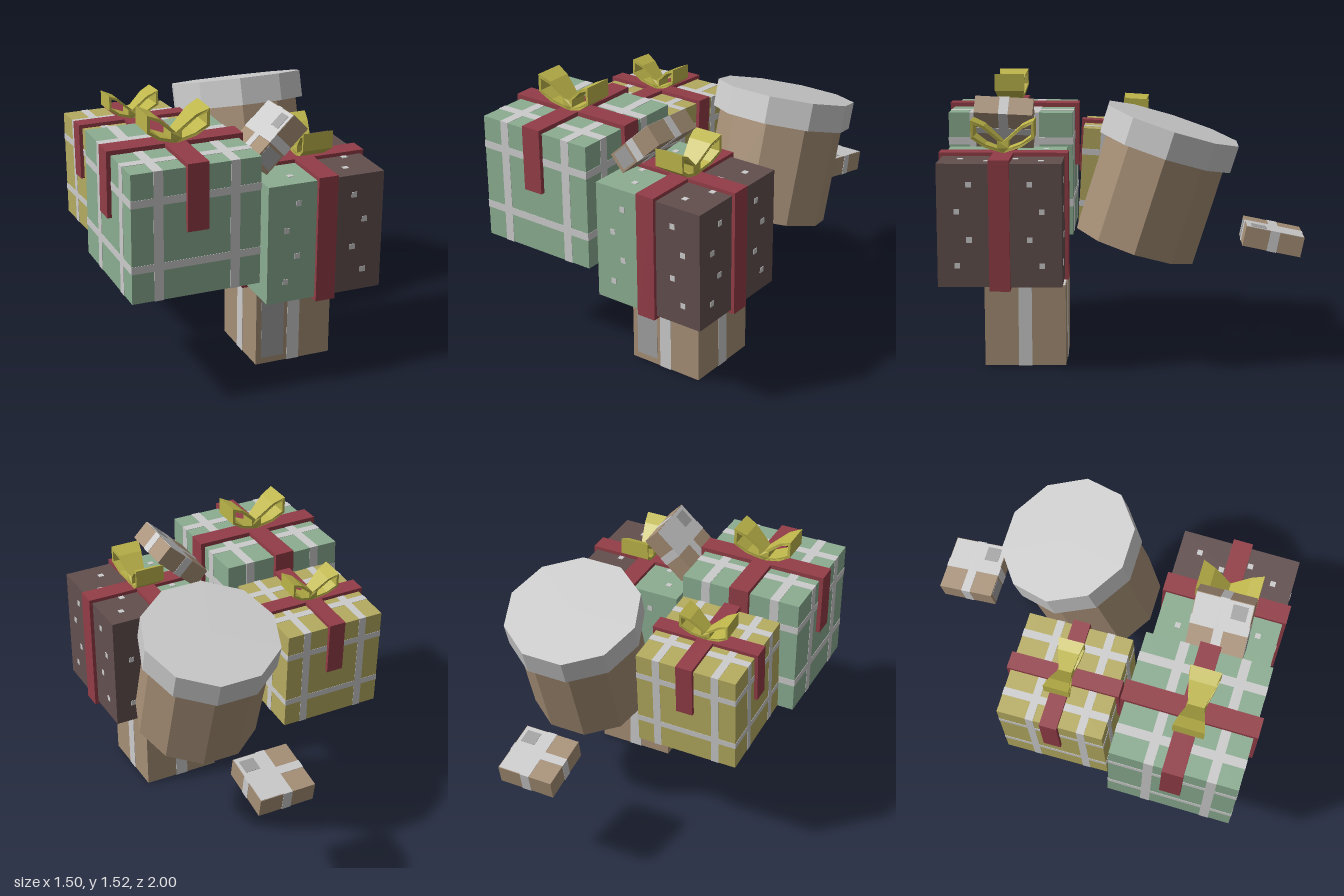
import * as THREE from 'three';

const mat = (color) => new THREE.MeshStandardMaterial({ color, flatShading: true });
const GREEN = mat(0x8bad91), RED = mat(0x933d47), GOLD = mat(0xbdb54a), YELLOW = mat(0xb5ab60);
const BROWN = mat(0x624f4e), CARD = mat(0xa68f76), GREY = mat(0xcccccc), LABEL = mat(0xa0a0a0);

function add(parent, name, geometry, material, x = 0, y = 0, z = 0) {
  const mesh = new THREE.Mesh(geometry, material);
  mesh.name = name;
  mesh.position.set(x, y, z);
  parent.add(mesh);
  return mesh;
}

const box = (parent, name, material, w, h, d, x = 0, y = 0, z = 0) =>
  add(parent, name, new THREE.BoxGeometry(w, h, d), material, x, y, z);

function group(parent, name, position, rotation = [0, 0, 0], scale = 1) {
  const g = new THREE.Group();
  g.name = name;
  g.position.set(...position);
  g.rotation.set(...rotation);
  g.scale.setScalar(scale);
  parent.add(g);
  return g;
}

// Two upswept ribbon loops, pinched towards the knot
function addBow(parent, y, turn = 0, offset = 0.02) {
  const half = [[0.1, 0.035], [0.17, 0.085], [0.17, 0.182], [0.1, 0.15]];
  const mirrored = half.map(([x, v]) => [-x, v]).reverse();
  const points = (list) => list.map(([x, v]) => new THREE.Vector2(x, v));
  const shape = new THREE.Shape(points([[0, 0], ...half, [0, 0.06], ...mirrored]));
  const hole = [[0.03, 0.028], [0.095, 0.051], [0.155, 0.094], [0.155, 0.16], [0.106, 0.136], [0.03, 0.067]];
  for (const side of [1, -1]) {
    shape.holes.push(new THREE.Path(points(hole.map(([x, v]) => [x * side, v]))));
  }
  const geometry = new THREE.ExtrudeGeometry(shape, { depth: 0.17, bevelEnabled: false });
  geometry.translate(0, 0, -0.085);
  const p = geometry.attributes.position;
  for (let i = 0; i < p.count; i++) {
    p.setZ(i, p.getZ(i) * (0.52 + 0.48 * Math.min(1, Math.abs(p.getX(i)) / 0.16)));
  }
  geometry.computeVertexNormals();
  const holder = group(parent, 'bowHolder', [0, y, 0], [0, turn, 0]);
  add(holder, 'bow', geometry, GOLD, 0, 0, offset);
}

// Checked gift with a ribbon draped over its top
function addCheckedGift(parent, name, material, position, rotation, scale, bowOffset) {
  const g = group(parent, name, position, rotation, scale);
  const s = 0.7, e = s + 0.004, w = 0.052;
  box(g, 'giftBox', material, s, s, s, 0, s / 2);
  for (const x of [-0.205, 0.21]) box(g, 'paperStripe', GREY, w, e, e, x, s / 2);
  for (const y of [-0.165, 0.19]) box(g, 'paperStripe', GREY, e, w * 0.8, e, 0, s / 2 + y);
  for (const z of [-0.135, 0.205]) box(g, 'paperStripe', GREY, e, e, w, 0, s / 2, z);
  const rw = 0.115, t = 0.024;
  box(g, 'topRibbon', RED, s + 2 * t, t, rw, 0, s + t / 2);
  box(g, 'topRibbon', RED, rw, t, s + 2 * t, 0, s + t / 2);
  for (const side of [1, -1]) {
    const r = side * (s + t) / 2;
    box(g, 'hangingRibbon', RED, t, 0.34, rw, r, s - 0.17);
    box(g, 'hangingRibbon', RED, rw, 0.34, t, 0, s - 0.17, r);
  }
  addBow(g, s + t - 0.004, 0, bowOffset);
}

// Two-coloured spotted gift, ribbon wrapped all the way round
function addSpottedGift(parent, position) {
  const g = group(parent, 'spottedGift', position);
  const s = 0.66, full = 0.7, e = s + 0.006, d = 0.03;
  box(g, 'greenHalf', GREEN, s / 2, s, s, -s / 4, full / 2);
  box(g, 'brownHalf', BROWN, s / 2, s, s, s / 4, full / 2);
  [0.22, 0.075, -0.075, -0.215].forEach((v, row) => {
    for (const side of [1, -1]) {
      const u = side * (row % 2 ? 0.225 : 0.16);
      box(g, 'spot', GREY, d, d, e, u, full / 2 + v, 0);
      box(g, 'spot', GREY, e, d, d, 0, full / 2 + v, u);
      box(g, 'spot', GREY, d, e, d, u, full / 2, v);
    }
  });
  box(g, 'ribbonLoop', RED, full, full, 0.11, 0, full / 2);
  box(g, 'ribbonLoop', RED, 0.11, full, full, 0, full / 2);
  addBow(g, full - 0.002, Math.PI / 2);
}

// Cardboard parcel centred on its origin, with crossed tape and labels
function addParcel(parent, name, w, h, position, rotation) {
  const g = group(parent, name, position, rotation);
  const e = 0.004, tape = w * 0.165;
  box(g, 'cardboard', CARD, w, h, w);
  box(g, 'tape', GREY, tape, h + e, w + e);
  box(g, 'tape', GREY, w + e, h + e, tape);
  box(g, 'topLabel', GREY, w * 0.56, e, w * 0.98, w * 0.21, h / 2);
  box(g, 'stamp', LABEL, w * 0.26, e, w * 0.26, w * 0.3, h / 2 + 0.002, w * 0.28);
  box(g, 'frontLabel', LABEL, w * 0.3, h * 0.84, e, -w * 0.28, 0, w / 2);
}

// Ten-sided tub with a wider lid
function addTub(parent, position, tilt) {
  const g = group(parent, 'tub', position, [tilt, 0, 0]);
  const prism = (r, h) => new THREE.CylinderGeometry(r, r, h, 10, 1, false, Math.PI / 10);
  add(g, 'tubBody', prism(0.343, 0.55), CARD, 0, 0.275);
  add(g, 'tubLid', prism(0.382, 0.15), GREY, 0, 0.611);
}

export function createModel() {
  const model = new THREE.Group();
  model.name = 'giftPile';
  addCheckedGift(model, 'greenGift', GREEN, [-0.38, 0.62, 0.626], [0, 0, 0], 1, 0.02);
  addCheckedGift(model, 'yellowGift', YELLOW, [-0.355, 0.628, -0.042], [-0.06, 0, 0], 0.836, 0.005);
  addSpottedGift(model, [0.35, 0.455, 0.63]);
  addParcel(model, 'baseParcel', 0.44, 0.445, [0.285, 0.2225, 0.512], [0, 0, 0]);
  addParcel(model, 'tiltedParcel', 0.32, 0.115, [0.154, 1.286, 0.642], [-0.05, 0, 0.75]);
  addParcel(model, 'backParcel', 0.32, 0.11, [0.285, 0.678, -0.83], [-0.2, 0, 0]);
  addTub(model, [0.365, 0.657, -0.08], -0.307);
  return model;
}
